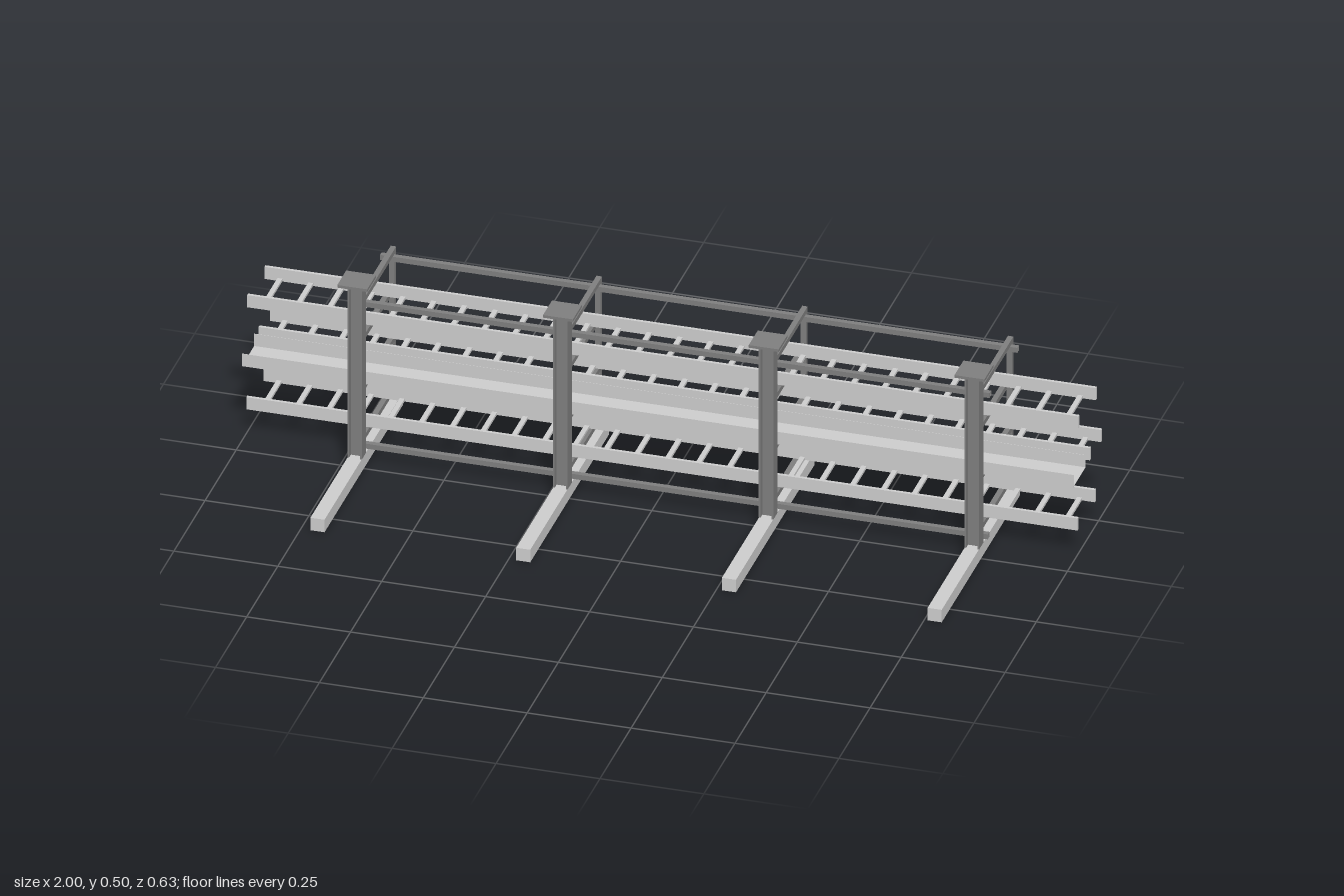
import * as THREE from 'three';

const light = new THREE.MeshStandardMaterial({ color: 0xcccccc, flatShading: true });
const dark = new THREE.MeshStandardMaterial({ color: 0x7e7e7e, flatShading: true });

const FRAME_X = [-0.71, -0.215, 0.28, 0.775];
const S = 0.013; // strut channel size

function add(parent, name, geometry, material, x, y, z) {
  const mesh = new THREE.Mesh(geometry, material);
  mesh.name = name;
  mesh.position.set(x, y, z);
  parent.add(mesh);
  return mesh;
}

// Box given by its extents on y and z, centred on x
function box(parent, name, material, x, width, y0, y1, z0, z1) {
  const geometry = new THREE.BoxGeometry(width, y1 - y0, Math.abs(z1 - z0));
  return add(parent, name, geometry, material, x, (y0 + y1) / 2, (z0 + z1) / 2);
}

// Lipped channel along z, open towards -y, centred on the origin
function strut(length) {
  const h = S / 2, t = 0.0014, lip = 0.0038, hook = 0.0035;
  const half = [
    [h, h], [h, -h], [h - lip, -h], [h - lip, -h + hook],
    [h - lip + t, -h + hook], [h - lip + t, -h + t], [h - t, -h + t], [h - t, h - t],
  ];
  const points = [...half, ...half.map(([x, y]) => [-x, y]).reverse()];
  const shape = new THREE.Shape(points.map(([x, y]) => new THREE.Vector2(x, y)));
  return new THREE.ExtrudeGeometry(shape, { depth: length, bevelEnabled: false })
    .translate(0, 0, -length / 2);
}

// H-section column with a cap plate, standing on a foot beam
function makeSupport(x) {
  const g = new THREE.Group();
  g.name = 'support';
  box(g, 'footBeam', light, x, 0.034, 0, 0.033, -0.315, 0.315);
  for (const side of [-1, 1]) {
    box(g, 'columnFlange', dark, x + side * 0.0155, 0.004, 0.033, 0.489, -0.0175, 0.0175);
  }
  box(g, 'columnWeb', dark, x, 0.027, 0.033, 0.489, -0.002, 0.002);
  box(g, 'capPlate', dark, x, 0.072, 0.488, 0.495, -0.036, 0.036);
  return g;
}

// Rectangular strut frame with shelves
function makeFrame(x) {
  const g = new THREE.Group();
  g.name = 'strutFrame';
  for (const [z, turn] of [[-0.0365, -1], [-0.2885, 1]]) {
    const post = strut(0.366).rotateX(turn * Math.PI / 2);
    add(g, 'post', post, dark, x, 0.232, z);
  }
  add(g, 'topBar', strut(0.265), dark, x, 0.4205, -0.1625);
  for (const y of [0.0575, 0.19, 0.323]) {
    add(g, 'shelfBar', strut(0.239), dark, x, y, -0.1625);
  }
  return g;
}

// Cable ladder: two side rails joined by rungs
function makeLadder(y, zFront, zBack) {
  const g = new THREE.Group();
  g.name = 'cableLadder';
  const rail = 0.008, count = 27, pitch = 2 / count;
  box(g, 'sideRail', light, 0, 2, y, y + 0.032, zFront - rail, zFront);
  box(g, 'sideRail', light, 0, 2, y, y + 0.032, zBack, zBack + rail);
  for (let i = 0; i < count; i++) {
    const x = -1 + (i + 0.5) * pitch;
    box(g, 'rung', light, x, 0.012, y + 0.001, y + 0.0075, zBack + rail, zFront - rail);
  }
  return g;
}

// Thin solid-bottomed cable trough
function makeTrough(y, zFront, zBack) {
  const g = new THREE.Group();
  g.name = 'cableTrough';
  const t = 0.001;
  box(g, 'troughFloor', light, 0, 2, y, y + t, zBack, zFront);
  box(g, 'troughSide', light, 0, 2, y + t, y + 0.033, zFront - t, zFront);
  box(g, 'troughSide', light, 0, 2, y + t, y + 0.033, zBack, zBack + t);
  return g;
}

export function createModel() {
  const model = new THREE.Group();
  model.name = 'cableRack';

  for (const x of FRAME_X) model.add(makeSupport(x), makeFrame(x));

  // Long runners tying the frames together
  for (const [y, z] of [[0.0425, -0.0365], [0.0425, -0.2885], [0.4075, -0.051], [0.4075, -0.2745]]) {
    add(model, 'longRunner', strut(1.534).rotateY(Math.PI / 2), dark, 0.0325, y, z);
  }

  // Trays on the three shelves
  model.add(
    makeLadder(0.064, -0.081, -0.229),
    makeTrough(0.1965, -0.046, -0.145),
    makeLadder(0.1965, -0.18, -0.278),
    makeLadder(0.3295, -0.088, -0.236),
  );
  return model;
}
